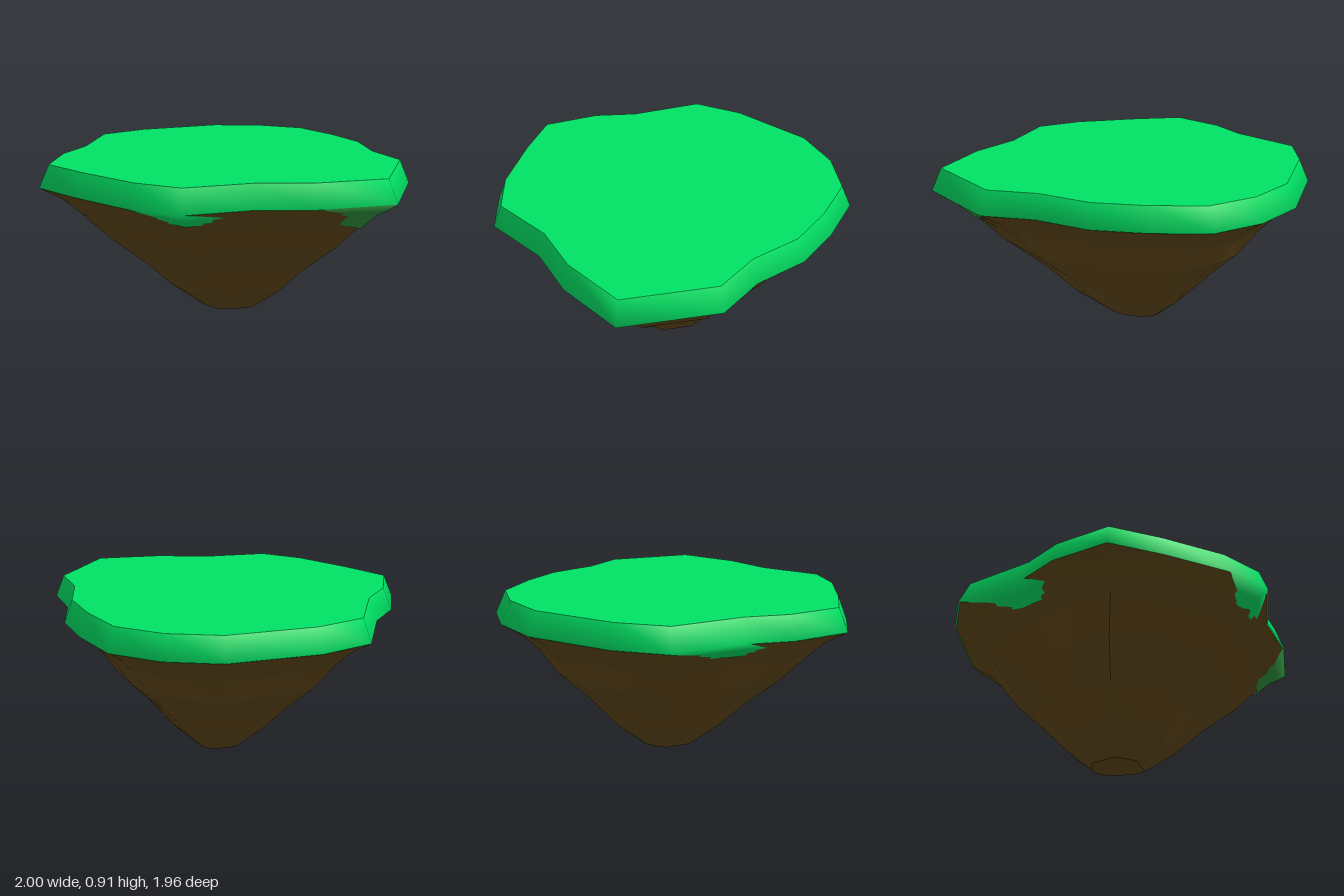
import * as THREE from 'three';

// Island rim outline as [x, z], walking back -> left -> front -> right
const OUTLINE = [
  [-0.14, -0.98], [0.17, -0.98], [0.45, -0.88], [0.65, -0.63], [0.80, -0.37], [0.86, -0.06],
  [0.995, 0.20], [0.875, 0.715], [0.49, 0.835], [0.17, 0.85], [-0.20, 0.98], [-0.46, 0.87],
  [-0.77, 0.63], [-1.0, 0.42], [-0.98, 0.09], [-0.89, -0.15], [-0.845, -0.58], [-0.61, -0.775],
];
const N = OUTLINE.length;

// Rock profile: [height, outline scale, z shift], rim downwards
const PROFILE = [
  [0.785, 0.999, 0], [0.71, 0.88, 0], [0.62, 0.79, 0], [0.47, 0.66, -0.02],
  [0.31, 0.48, -0.03], [0.14, 0.32, -0.03], [0, 0.15, -0.035],
];

// Lowest height of the grass where it drips over the rock, by outline index
const DRIPS = { 7: 0.62, 10: 0.695, 15: 0.69 };
const MOSSY = 7;

function scaleAt(y) {
  const k = PROFILE.findIndex(([level]) => y >= level);
  const [y0, s0] = PROFILE[k - 1], [y1, s1] = PROFILE[k];
  return s1 + (s0 - s1) * (y - y1) / (y0 - y1);
}

// One ring of points; the rule gives [height, scale, z shift] per outline index
const ring = (rule) => OUTLINE.map(([x, z], i) => {
  const [y, s, dz = 0] = rule(i);
  return [x * s, y, z * s + dz];
});

// Skin joining rings from top to bottom
function loft(rings, flat) {
  const index = [];
  for (let k = 0; k < rings.length - 1; k++) {
    for (let i = 0; i < N; i++) {
      const j = (i + 1) % N, a = k * N, b = a + N;
      index.push(a + i, a + j, b + i, a + j, b + j, b + i);
    }
  }
  let geo = new THREE.BufferGeometry();
  geo.setAttribute('position', new THREE.Float32BufferAttribute(rings.flat(2), 3));
  geo.setIndex(index);
  if (flat) geo = geo.toNonIndexed();
  geo.computeVertexNormals();
  return geo;
}

// Flat lid on a ring, facing up or down
function cap(points, up) {
  const geo = new THREE.BufferGeometry();
  const index = [];
  for (let i = 0; i < N; i++) {
    const j = (i + 1) % N;
    index.push(N, up ? j : i, up ? i : j);
  }
  const y = points[0][1];
  geo.setAttribute('position', new THREE.Float32BufferAttribute([...points, [0, y, 0]].flat(), 3));
  geo.setIndex(index);
  geo.computeVertexNormals();
  return geo;
}

function material(name, color, side = THREE.FrontSide) {
  const mat = new THREE.MeshStandardMaterial({ color, side });
  mat.name = name;
  return mat;
}

export function createModel() {
  const model = new THREE.Group();
  model.name = 'floatingIsland';
  const grass = material('grassGreen', 0x00e264, THREE.DoubleSide);
  const moss = material('mossGreen', 0x30953f, THREE.DoubleSide);
  const earth = material('earthBrown', 0x60481a);
  const add = (name, geo, mat) => {
    const mesh = new THREE.Mesh(geo, mat);
    mesh.name = name;
    model.add(mesh);
  };

  // Grass: flat meadow, then a soft rim whose underside sinks into the rock
  // except at the drips, which taper over it
  const meadow = ring(() => [0.91, 0.947, 0.004]);
  const rim = ring(() => [0.785, 1]);
  const underside = (height, sink) => ring((i) => {
    const y = height ?? DRIPS[i] ?? 0.70;
    return [y, scaleAt(y) + (i in DRIPS ? 0.014 : -sink)];
  });
  const rimGeo = loft([meadow, rim, underside(0.74, 0.01), underside(0.71, 0.02), underside(null, 0.04)]);
  // The corner drip is mossy: one group per quad picks its material
  for (let q = 0; q < rimGeo.index.count / 6; q++) {
    const i = q % N;
    rimGeo.addGroup(q * 6, 6, q >= N && (i === MOSSY || i === MOSSY - 1) ? 1 : 0);
  }
  add('meadow', cap(meadow, true), grass);
  add('grassRim', rimGeo, [grass, moss]);

  // Rock: smooth shoulder, chipped facets below, flat foot
  const rock = PROFILE.map(([y, s, dz], k) => ring((i) => {
    const chip = k > 2 && k < 6 ? 0.025 * Math.sin(i * 2.3 + k * 1.7) : 0;
    return [y + chip * 0.6, s * (1 + chip), dz];
  }));
  add('rockShoulder', loft(rock.slice(0, 3)), earth);
  add('rockCone', loft(rock.slice(2), true), earth);
  add('rockFoot', cap(rock[6], false), earth);
  return model;
}
